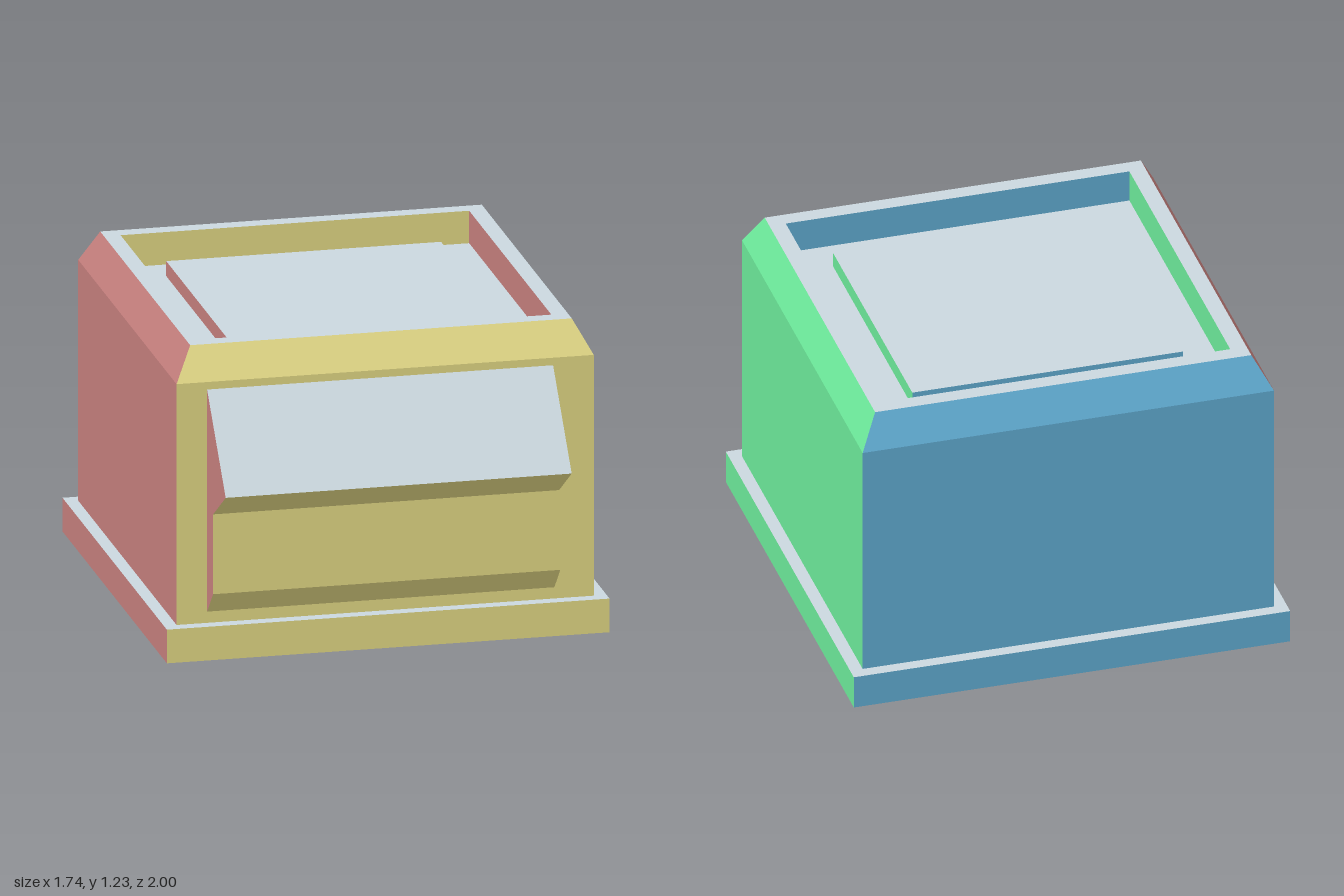
import * as THREE from 'three';

const material = (name, color) => {
  const m = new THREE.MeshStandardMaterial({ color });
  m.name = name;
  return m;
};

export function createModel() {
  const yellow = material('front yellow', 0xe6dc87);
  const green = material('left green', 0x6be698);
  const blue = material('back blue', 0x61add3);
  const red = material('right red', 0xc27d7b);
  const grey = material('top grey', 0xcad7de);
  const slate = material('underside slate', 0x757a96);
  const sides = [yellow, green, blue, red]; // +z, +x, -z, -x

  const model = new THREE.Group();
  model.name = 'boxWithAwning';

  // Flat-faced mesh from convex polygons, one material per polygon
  function polygonMesh(name, faces) {
    const pos = [];
    const geo = new THREE.BufferGeometry();
    faces.forEach(({ points }, i) => {
      const start = pos.length / 3;
      for (let j = 1; j < points.length - 1; j++) {
        pos.push(...points[0], ...points[j], ...points[j + 1]);
      }
      geo.addGroup(start, pos.length / 3 - start, i);
    });
    geo.setAttribute('position', new THREE.Float32BufferAttribute(pos, 3));
    geo.computeVertexNormals();
    const mesh = new THREE.Mesh(geo, faces.map((f) => f.mat));
    mesh.name = name;
    return mesh;
  }

  // Sweeps a [half width, height] profile around a square, coloured by facing
  function squareSweep(name, profile) {
    const group = new THREE.Group();
    group.name = name;
    for (let k = 0; k < 4; k++) {
      const faces = profile.slice(1).map(([rb, yb], i) => {
        const [ra, ya] = profile[i];
        let mat = sides[k];
        if (yb < ya) mat = sides[(k + 2) % 4];
        else if (yb === ya) mat = rb > ra ? slate : grey;
        return { mat, points: [[-ra, ya, ra], [ra, ya, ra], [rb, yb, rb], [-rb, yb, rb]] };
      });
      const mesh = polygonMesh(name + 'Side', faces);
      mesh.rotation.y = (k * Math.PI) / 2;
      group.add(mesh);
    }
    group.position.z = -0.13;
    model.add(group);
  }

  // Runs a [z, y] profile across x, with a back left open against the body
  function prism(name, profile, x0, x1, mats) {
    const faces = mats.map((mat, i) => {
      const [pz, py] = profile[i];
      const [qz, qy] = profile[i + 1];
      return { mat, points: [[x0, py, pz], [x0, qy, qz], [x1, qy, qz], [x1, py, pz]] };
    });
    faces.push({ mat: green, points: profile.map(([z, y]) => [x1, y, z]) });
    faces.push({ mat: red, points: profile.map(([z, y]) => [x0, y, z]).reverse() });
    model.add(polygonMesh(name, faces));
  }

  // Plinth with its ledge
  squareSweep('plinth', [[0, 0], [0.87, 0], [0.87, 0.135], [0.82, 0.135]]);
  // Walls
  squareSweep('body', [[0.82, 0.135], [0.82, 1.1]]);
  // Chamfered rim and sunken roof
  squareSweep('roofRim', [[0.82, 1.1], [0.75, 1.23], [0.685, 1.23], [0.685, 1.1], [0.54, 1.1]]);
  // Raised roof panel
  squareSweep('roofPanel', [[0.54, 1.1], [0.54, 1.16], [0, 1.16]]);

  // Awning and the counter beneath it
  prism('awning', [[0.69, 1.07], [1, 0.73], [0.79, 0.6], [0.69, 0.6]], -0.7, 0.66, [grey, yellow]);
  prism('counter', [[0.79, 0.6], [0.79, 0.28], [0.69, 0.18], [0.69, 0.6]], -0.7, 0.665, [yellow, yellow]);

  return model;
}
